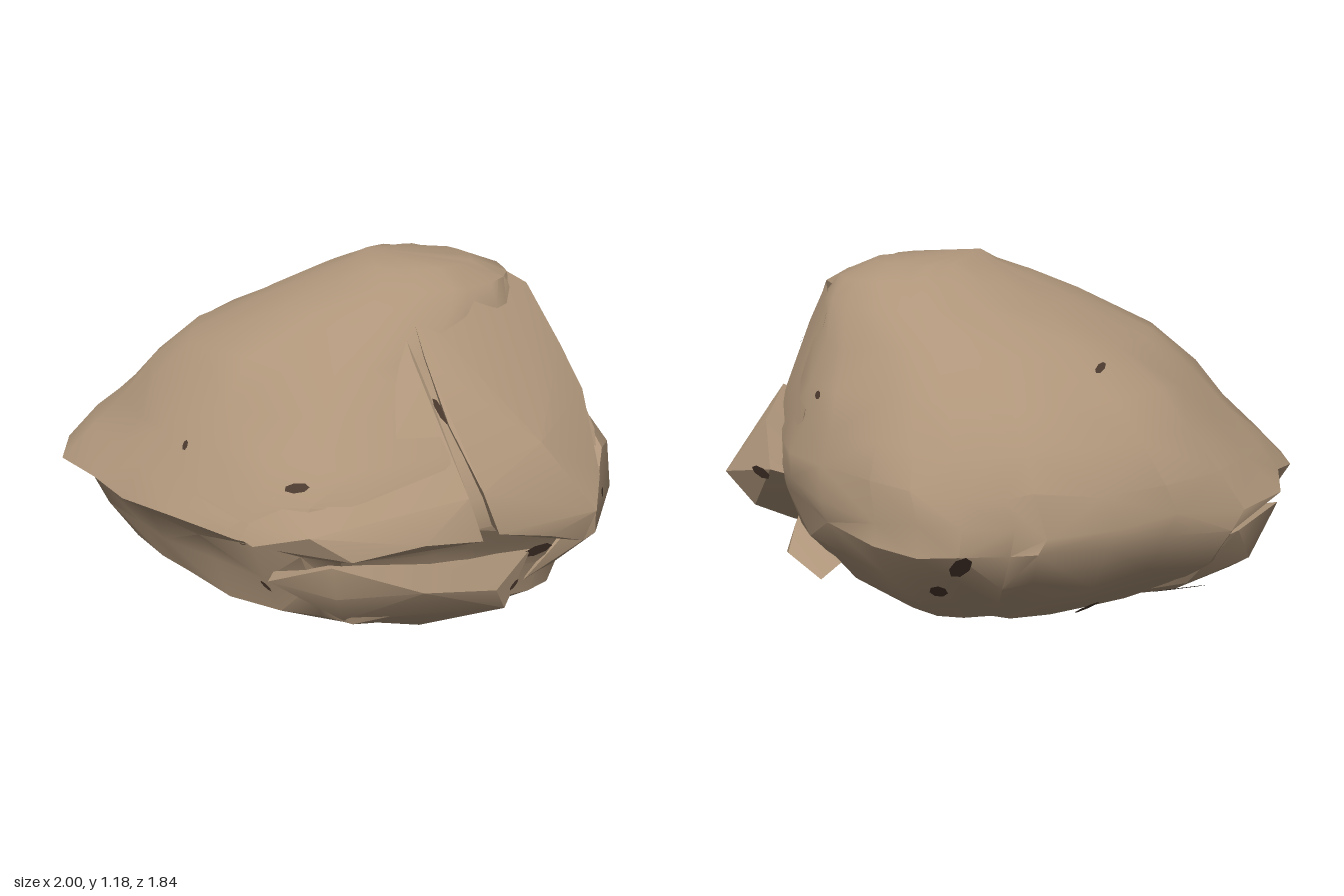
import * as THREE from 'three';
import { toCreasedNormals } from 'three/addons/utils/BufferGeometryUtils.js';
import { ConvexGeometry } from 'three/addons/geometries/ConvexGeometry.js';

const stone = new THREE.MeshStandardMaterial({ color: 0xae957a });
stone.name = 'stone';
const pitDark = new THREE.MeshStandardMaterial({ color: 0x4b392e });
pitDark.name = 'pitDark';

// Seeded noise in -1..1
let seed = 11;
const rnd = () => {
  seed = (seed * 16807) % 2147483647;
  return (seed / 2147483647) * 2 - 1;
};

// Plan outline of the boulder, scaled to -1..1, as [x, z]
const OUTLINE = [
  [1, 0], [0.99, 0.25], [0.95, 0.5], [0.86, 0.72], [0.72, 0.9], [0.58, 0.96], [0.2, 1],
  [0.05, 1], [-0.3, 0.93], [-0.43, 0.87], [-0.57, 0.72], [-0.73, 0.5], [-0.86, 0.22],
  [-0.92, 0], [-1, -0.27], [-0.94, -0.48], [-0.85, -0.58], [-0.76, -0.73], [-0.57, -0.89],
  [-0.3, -0.95], [-0.05, -1], [0.2, -1], [0.3, -0.94], [0.47, -0.93], [0.62, -0.87],
  [0.74, -0.73], [0.89, -0.46], [0.96, -0.22],
];

// Extents of each level: y, xMin, xMax, zMin, zMax
const LEVELS = [
  [0, -0.54, 0.56, -0.6, 0.64],
  [0.08, -0.76, 0.68, -0.7, 0.74],
  [0.21, -0.84, 0.75, -0.85, 0.77],
  [0.33, -0.91, 0.79, -0.92, 0.81],
  [0.41, -1, 0.81, -0.92, 0.87],
  [0.52, -0.9, 0.8, -0.9, 0.86],
  [0.63, -0.8, 0.76, -0.83, 0.78],
  [0.75, -0.7, 0.72, -0.73, 0.65],
  [0.88, -0.57, 0.67, -0.56, 0.54],
  [1.0, -0.3, 0.63, -0.38, 0.45],
  [1.07, -0.13, 0.57, -0.26, 0.39],
  [1.12, 0, 0.44, -0.15, 0.28],
];

// Main body: outline lofted through the levels, with uneven facets
function bodyGeometry() {
  const n = OUTLINE.length;
  const pos = [];
  const idx = [];
  LEVELS.forEach(([y, x0, x1, z0, z1], i) => {
    const rough = i === 0 ? 0 : i > 8 ? 0.005 : 0.02;
    // upper levels become rounder, most of all on the back right-hand slope
    const blend = Math.min(1, Math.max(0, i - 4) / 4);
    OUTLINE.forEach(([u, v]) => {
      const tip = Math.abs(u) === 1 || Math.abs(v) === 1;
      const slope = u < 0 && v < 0 ? 1 - 0.08 * blend * u * v : 1;
      const k = (1 + (tip ? 0 : rnd() * rough)) * slope
        * THREE.MathUtils.lerp(1, 1 / Math.hypot(u, v), blend);
      pos.push(
        (x0 + x1) / 2 + ((x1 - x0) / 2) * u * k + rnd() * rough * 0.4,
        y + rnd() * rough,
        (z0 + z1) / 2 + ((z1 - z0) / 2) * v * k,
      );
    });
  });
  for (let i = 0; i < LEVELS.length - 1; i++) {
    for (let j = 0; j < n; j++) {
      const a = i * n + j, b = i * n + (j + 1) % n, c = a + n, d = b + n;
      if (rnd() > 0) idx.push(a, c, b, b, c, d);
      else idx.push(a, c, d, a, d, b);
    }
  }
  const bottom = pos.length / 3;
  pos.push(0, 0, 0, 0.07, 1.155, 0.02);
  const last = (LEVELS.length - 1) * n;
  for (let j = 0; j < n; j++) {
    const k = (j + 1) % n;
    idx.push(bottom, j, k, bottom + 1, last + k, last + j);
  }
  const g = new THREE.BufferGeometry();
  g.setAttribute('position', new THREE.Float32BufferAttribute(pos, 3));
  g.setIndex(idx);
  return g;
}

// Separate blocks split off by cracks, each the hull of its corners
const CHUNKS = {
  frontCentreBlock: [
    [0.07, 1.05, 0.38], [0.06, 0.9, 0.54], [0.07, 0.72, 0.71], [0.11, 0.55, 0.88],
    [0.15, 0.42, 0.92], [0.5, 0.31, 0.86], [0.53, 0.42, 0.88], [0.6, 0.5, 0.78],
    [0.66, 0.72, 0.55], [0.64, 0.85, 0.42], [0.6, 1.03, 0.24], [0.52, 1.08, 0.2],
    [0.3, 1.07, 0.36], [0.35, 0.66, 0.81], [0.35, 0.37, 0.9], [0.2, 0.5, 0.2], [0.4, 0.9, 0.1],
  ],
  frontLeftSlab: [
    [0.03, 1.03, 0.38], [0.02, 0.9, 0.53], [0.02, 0.72, 0.7], [0.06, 0.54, 0.88],
    [0.1, 0.4, 0.91], [-0.1, 0.42, 0.91], [-0.32, 0.38, 0.86], [-0.44, 0.46, 0.81],
    [-0.58, 0.4, 0.68], [-0.72, 0.46, 0.45], [-0.6, 0.66, 0.38], [-0.38, 0.84, 0.37],
    [-0.2, 0.97, 0.3], [-0.15, 0.35, 0.8], [-0.2, 0.4, 0.4], [-0.1, 0.8, 0.1],
  ],
  lowerLedge: [
    [-0.52, 0.25, 0.64], [-0.35, 0.32, 0.76], [-0.33, 0.2, 0.75], [-0.28, 0.08, 0.68],
    [-0.1, 0, 0.6], [0, 0, 0.67], [-0.06, 0.21, 0.83], [0.2, 0.17, 0.83], [0.25, 0.08, 0.8],
    [0.22, 0, 0.67], [0.36, 0.27, 0.77], [0, 0.29, 0.8], [0, 0.15, 0.3], [-0.3, 0.25, 0.3],
  ],
  // shoulder above the lobe, along the right crack
  rightFlank: [
    [0.61, 1.03, 0.16], [0.66, 0.87, 0.31], [0.68, 0.74, 0.45], [0.7, 0.58, 0.58],
    [0.7, 0.45, 0.62], [0.8, 0.5, 0.35], [0.75, 0.68, 0.2], [0.75, 0.7, 0],
    [0.68, 0.85, 0.02], [0.62, 1, -0.02], [0.76, 0.55, -0.2], [0.4, 0.6, 0.2],
  ],
  sideLobe: [
    [1, 0.33, 0.23], [0.93, 0.44, 0.2], [0.85, 0.55, 0.1], [0.82, 0.59, 0.22],
    [0.77, 0.64, 0.28], [0.84, 0.47, 0.46], [0.81, 0.33, 0.54], [0.71, 0.52, 0.62],
    [0.62, 0.4, 0.74], [0.62, 0.27, 0.75], [0.45, 0.25, 0.76], [0.36, 0.14, 0.74],
    [0.33, 0, 0.62], [0.9, 0.2, 0.2], [0.85, 0.17, 0.4], [0.75, 0.06, 0.42],
    [0.62, 0, 0.45], [0.85, 0.4, -0.02], [0.6, 0.3, 0], [0.5, 0.5, 0.3],
  ],
  footChip: [
    [0.72, 0.18, 0.22], [0.8, 0.06, 0.05], [0.8, 0.08, -0.02], [0.7, 0.03, -0.18],
    [0.76, 0.15, 0.1], [0.7, 0.03, 0.25], [0.5, 0.1, 0], [0.6, 0.01, 0.1],
  ],
  // low corner at the back
  backFoot: [
    [-0.5, 0, -0.5], [-0.7, 0.08, -0.53], [-0.79, 0.2, -0.55], [-0.66, 0.2, -0.75],
    [-0.48, 0.09, -0.66], [-0.74, 0.09, -0.3], [-0.5, 0, -0.2], [-0.58, 0.33, -0.83],
    [-0.83, 0.33, -0.6], [-0.2, 0, -0.5], [-0.3, 0.25, -0.4],
  ],
};

// Pits by facing direction: across, up (from the middle), width, height, turn
const FRONT = [0, 0, 1], SIDE = [1, 0, 0], TOP = [0, 1, 0], UNDER = [0.61, -0.5, -0.61];
const PITS = [
  [FRONT, -0.43, 0, 0.085, 0.035, -0.1], [FRONT, 0.38, -0.31, 0.11, 0.055, 0.2],
  [FRONT, 0.28, -0.41, 0.05, 0.02, 0.5], [FRONT, 0.23, -0.52, 0.03, 0.07, -0.4],
  [FRONT, 0.68, -0.19, 0.03, 0.04, 0.5], [FRONT, -0.58, -0.2, 0.02, 0.05, 0],
  [FRONT, -0.49, -0.39, 0.05, 0.02, -0.6], [FRONT, 0.06, 0.18, 0.03, 0.1, 0.1],
  [FRONT, 0.64, -0.07, 0.02, 0.07, -0.2],
  [SIDE, 0.27, 0.15, 0.035, 0.03, 0], [SIDE, -0.03, -0.19, 0.09, 0.06, -0.2],
  [SIDE, -0.09, -0.32, 0.15, 0.05, 0.8], [SIDE, -0.28, 0.23, 0.05, 0.02, 0.7],
  [TOP, -0.18, 0.59, 0.07, 0.025, 0.9], [TOP, -0.68, -0.3, 0.035, 0.025, 0.5],
  [UNDER, 0.16, -0.21, 0.05, 0.09, 0], [UNDER, 0.23, 0.04, 0.06, 0.09, -0.5],
  [UNDER, 0.36, 0.19, 0.06, 0.13, -0.7], [UNDER, 0.52, -0.33, 0.12, 0.04, 0.5],
  [UNDER, 0.75, -0.43, 0.2, 0.03, -0.35], [UNDER, 0.27, -0.5, 0.07, 0.025, 0.8],
  [UNDER, -0.26, -0.3, 0.04, 0.08, -0.2],
];

function addPits(group, targets) {
  const ray = new THREE.Raycaster();
  PITS.forEach(([d, sx, sy, w, h, turn]) => {
    const dir = new THREE.Vector3(...d).normalize();
    const up = d === TOP ? new THREE.Vector3(0, 0, -1) : new THREE.Vector3(0, 1, 0);
    const basis = new THREE.Quaternion().setFromRotationMatrix(
      new THREE.Matrix4().lookAt(dir, new THREE.Vector3(), up));
    const start = new THREE.Vector3(sx, sy, 4).applyQuaternion(basis);
    start.y += 0.57;
    ray.set(start, dir.clone().negate());
    const hit = ray.intersectObjects(targets)[0];
    if (!hit) return;
    const pit = new THREE.Mesh(new THREE.CircleGeometry(0.5, 7), pitDark);
    pit.name = 'pit';
    pit.scale.set(w, h, 1);
    pit.position.copy(hit.point).addScaledVector(hit.face.normal, 0.006);
    pit.quaternion.setFromUnitVectors(dir, hit.face.normal).multiply(basis)
      .multiply(new THREE.Quaternion().setFromAxisAngle(new THREE.Vector3(0, 0, 1), turn));
    group.add(pit);
  });
}

export function createModel() {
  const group = new THREE.Group();
  group.name = 'boulder';
  const add = (name, geometry, crease) => {
    const mesh = new THREE.Mesh(toCreasedNormals(geometry, crease), stone);
    mesh.name = name;
    group.add(mesh);
  };
  add('mainBody', bodyGeometry(), 0.6);
  for (const [name, corners] of Object.entries(CHUNKS)) {
    add(name, new ConvexGeometry(corners.map((p) => new THREE.Vector3(...p))), 0.5);
  }
  addPits(group, [...group.children]);
  return group;
}
